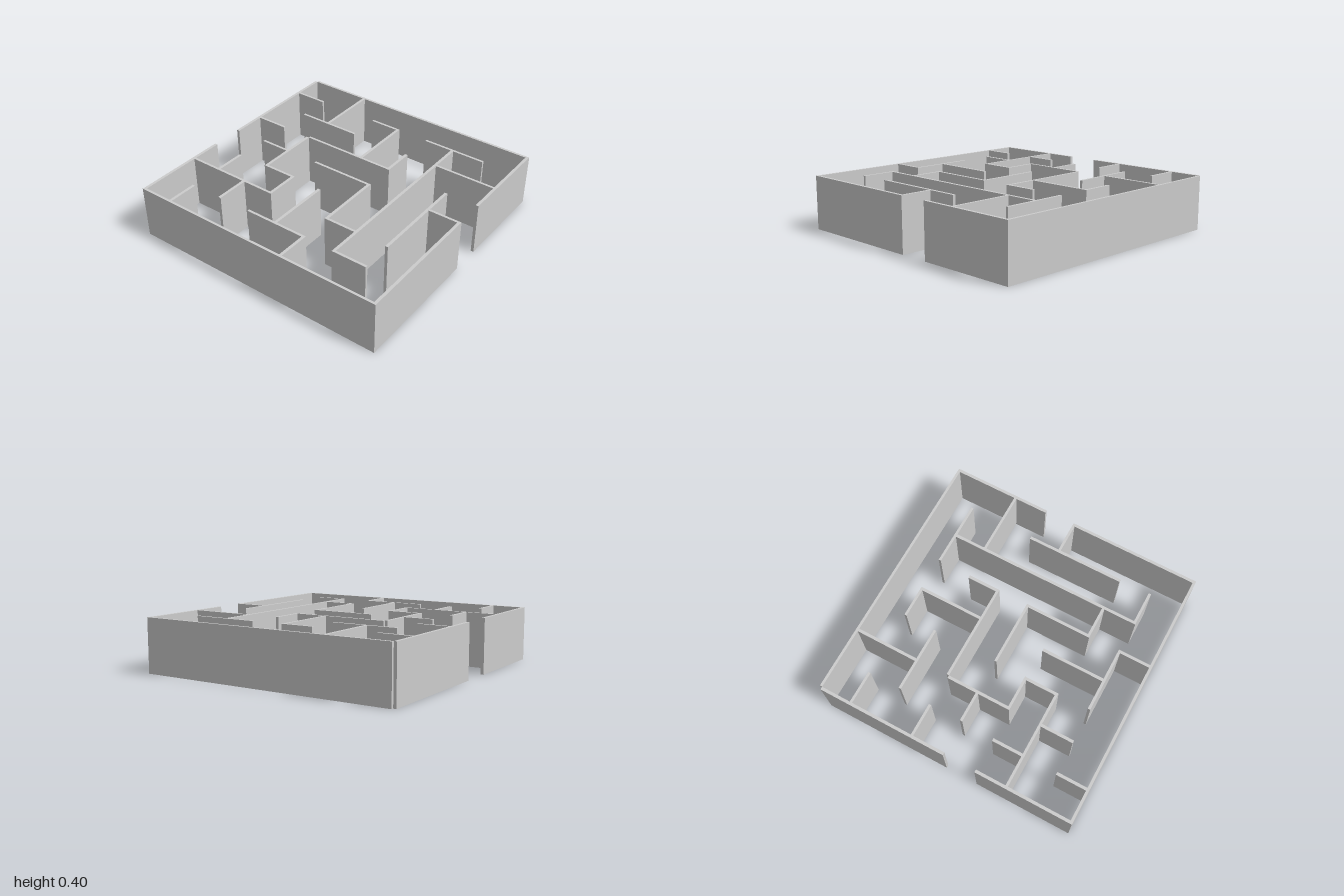
import * as THREE from 'three';

const HEIGHT = 0.403;
const STEP_X = 0.2465, STEP_Z = 0.2472; // grid spacing
const THICK_X = 0.019, THICK_Z = 0.022; // wall thickness by direction

// Walls running along x: for each grid row, [first column, last column]
const ROWS = [
  [[0, 3], [4, 8]],
  [[0, 1], [2, 3]],
  [[1, 2], [3, 5], [6, 8]],
  [[2, 3]],
  [[1, 3], [5, 7]],
  [[0, 1], [2, 4], [5, 6]],
  [[1, 7]],
  [[2, 5]],
  [[0, 4], [5, 8]],
];

// Walls running along z: for each grid column, [first row, last row]
const COLUMNS = [
  [[0, 8]],
  [[3, 5], [6, 7]],
  [[0, 3], [5, 6]],
  [[2, 3]],
  [[1, 2], [3, 5], [7, 8]],
  [[0, 1], [2, 5]],
  [[1, 3], [6, 8]],
  [[0, 1], [3, 4], [5, 7]],
  [[0, 8]],
];

const gridX = (i) => (i - 4) * STEP_X;
const gridZ = (j) => (j - 4) * STEP_Z;

export function createModel() {
  const maze = new THREE.Group();
  maze.name = 'maze';
  const material = new THREE.MeshStandardMaterial({ color: 0xcccccc, flatShading: true });

  // Upright wall between two corners of the plan
  function addWall(name, x0, x1, z0, z1) {
    const wall = new THREE.Mesh(new THREE.BoxGeometry(x1 - x0, HEIGHT, z1 - z0), material);
    wall.position.set((x0 + x1) / 2, HEIGHT / 2, (z0 + z1) / 2);
    wall.name = name;
    maze.add(wall);
  }

  // Crosswise walls, each ending just short of its last grid line
  ROWS.forEach((spans, j) => {
    const name = j === 0 ? 'backWall' : j === 8 ? 'frontWall' : 'crossWall';
    for (const [a, b] of spans) {
      addWall(name, gridX(a) - THICK_X / 2, gridX(b) - THICK_X / 2,
        gridZ(j) - THICK_Z / 2, gridZ(j) + THICK_Z / 2);
    }
  });

  // Lengthwise walls, each starting just behind its first grid line
  COLUMNS.forEach((spans, i) => {
    const name = i === 0 ? 'rightWall' : i === 8 ? 'leftWall' : 'lengthWall';
    for (const [a, b] of spans) {
      addWall(name, gridX(i) - THICK_X / 2, gridX(i) + THICK_X / 2,
        gridZ(a) + THICK_Z / 2, gridZ(b) + THICK_Z / 2);
    }
  });

  return maze;
}
